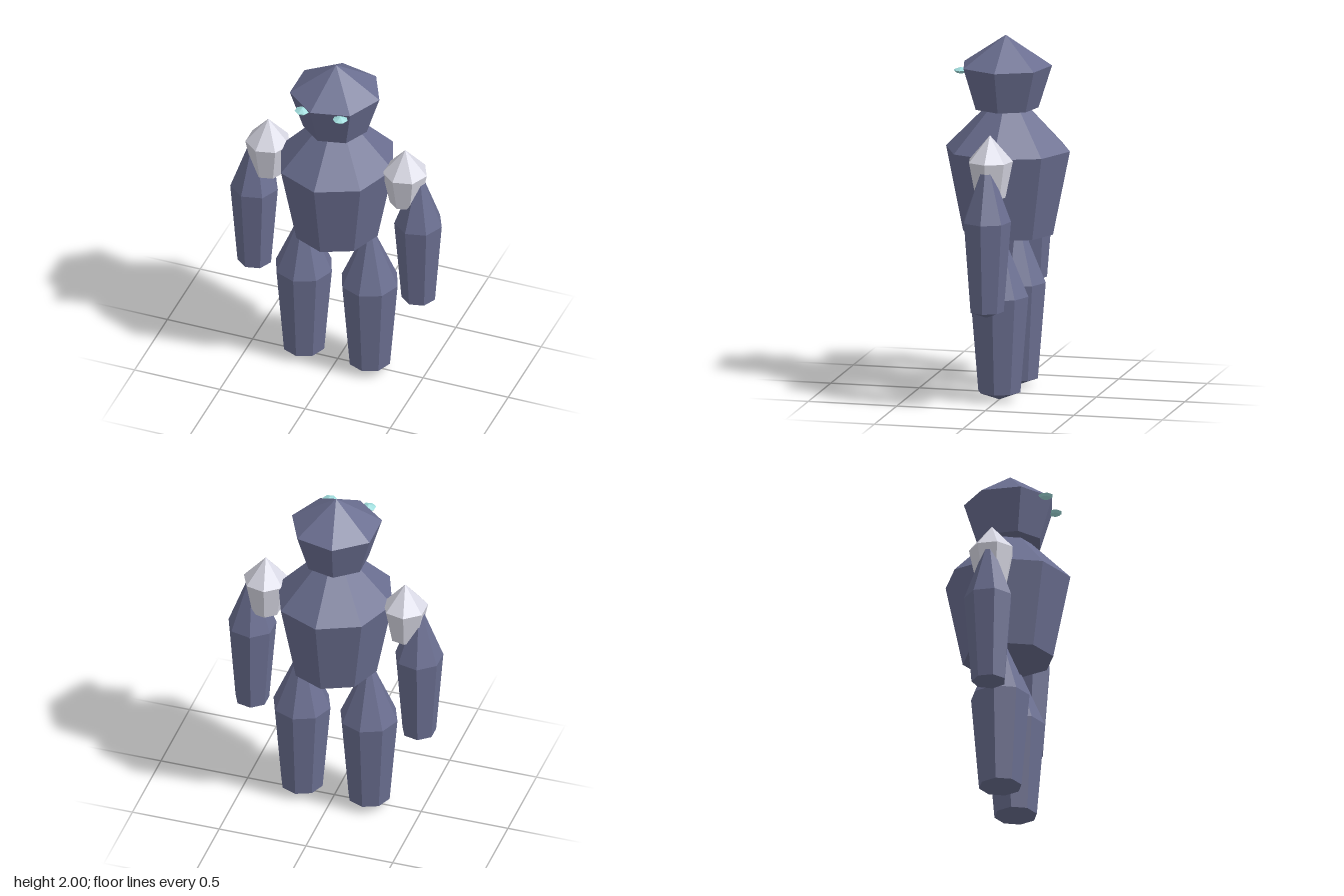
import * as THREE from 'three';

const stone = new THREE.MeshStandardMaterial({ color: 0x6a6e90, flatShading: true });
const crystal = new THREE.MeshStandardMaterial({ color: 0xd8d8e4, flatShading: true });
const glow = new THREE.MeshStandardMaterial({ color: 0xa0dcdc, flatShading: true });

// Faceted gem: bottom tip, narrow base ring, wide ring and apex, with one corner facing +x
function gem(name, material, sides, [x, z], { tip, base, ring, apex, rBase, rRing }) {
  const profile = [[0, tip], [rBase, base], [rRing, ring], [0, apex]]
    .map(([r, y]) => new THREE.Vector2(r, y));
  const mesh = new THREE.Mesh(new THREE.LatheGeometry(profile, sides, Math.PI / 2), material);
  mesh.name = name;
  mesh.position.set(x, 0, z);
  return mesh;
}

export function createModel() {
  const model = new THREE.Group();
  model.name = 'stoneGolem';

  // Torso, slightly narrower across than deep
  const torso = gem('torso', stone, 8, [-0.005, 0],
    { tip: 0.865, base: 0.895, ring: 1.365, apex: 1.72, rBase: 0.254, rRing: 0.35 });
  torso.scale.x = 0.94;
  model.add(torso);

  // Head
  model.add(gem('head', stone, 7, [-0.005, 0.013],
    { tip: 1.575, base: 1.595, ring: 1.83, apex: 2, rBase: 0.18, rRing: 0.254 }));

  // Paired parts
  for (const [side, s] of [['left', 1], ['right', -1]]) {
    const at = (d, z = 0) => [s * d - 0.006, z];
    model.add(
      gem(side + 'Eye', glow, 7, at(0.112, 0.237),
        { tip: 1.793, base: 1.802, ring: 1.815, apex: 1.832, rBase: 0.029, rRing: 0.042 }),
      gem(side + 'ShoulderCrystal', crystal, 7, at(0.402),
        { tip: 1.16, base: 1.172, ring: 1.375, apex: 1.52, rBase: 0.085, rRing: 0.126 }),
      gem(side + 'Arm', stone, 7, at(0.481),
        { tip: 0.515, base: 0.55, ring: 1.053, apex: 1.42, rBase: 0.095, rRing: 0.135 }),
      gem(side + 'Leg', stone, 8, at(0.193),
        { tip: 0, base: 0.045, ring: 0.582, apex: 0.97, rBase: 0.119, rRing: 0.164 }),
    );
  }
  return model;
}
